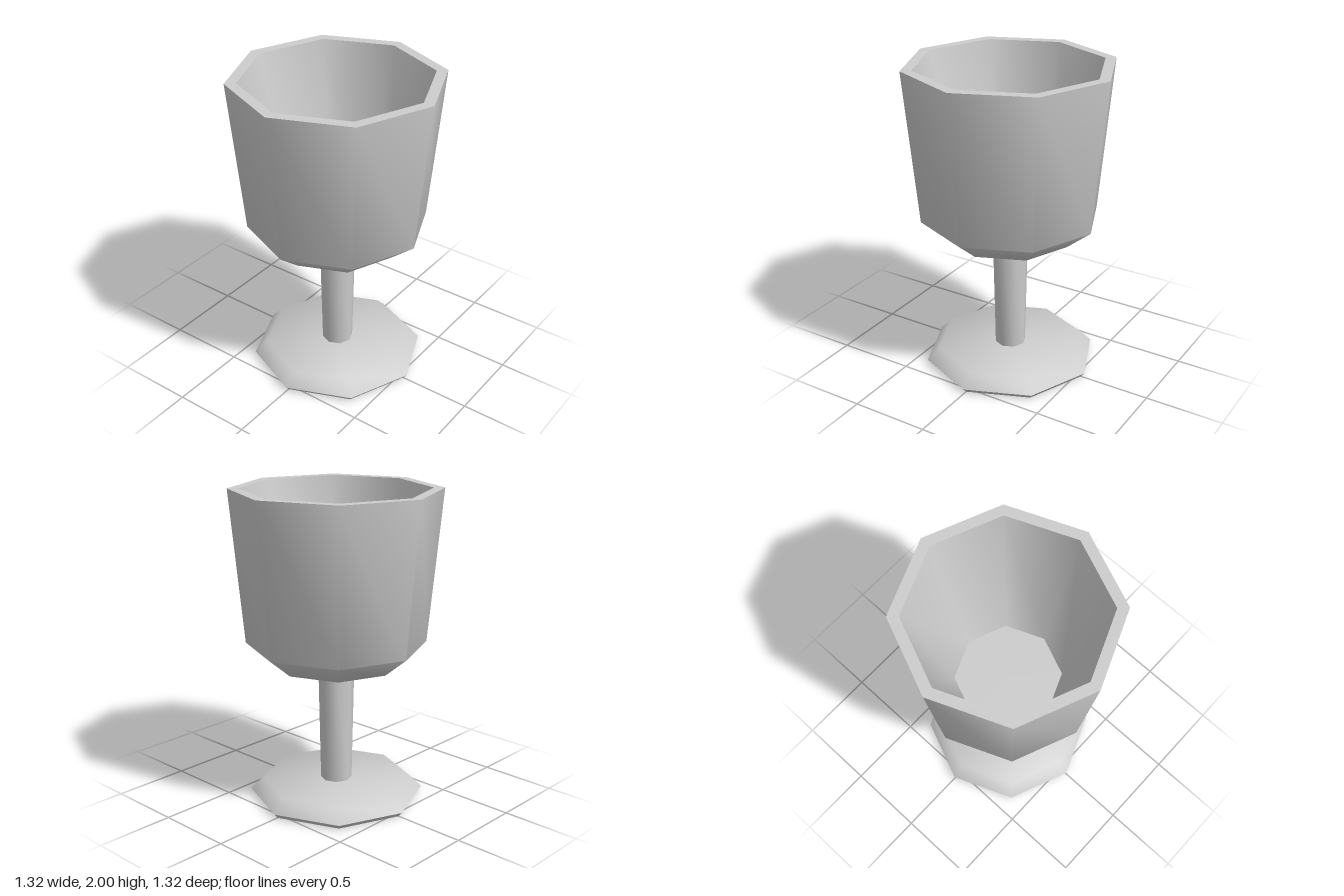
import * as THREE from 'three';
import { toCreasedNormals } from 'three/addons/utils/BufferGeometryUtils.js';

const SIDES = 8;

// Eight-sided turned part: gentle bends are smooth, steep ones stay sharp
function turned(name, profile, material) {
  const points = profile.map(([r, y]) => new THREE.Vector2(r, y));
  const lathe = new THREE.LatheGeometry(points, SIDES);
  const mesh = new THREE.Mesh(toCreasedNormals(lathe, THREE.MathUtils.degToRad(50)), material);
  mesh.name = name;
  return mesh;
}

export function createModel() {
  const group = new THREE.Group();
  group.name = 'goblet';
  const metal = new THREE.MeshStandardMaterial({ color: 0xcccccc });
  metal.name = 'pale grey';

  // Foot: flat plate with a wide upper bevel and a small lower one
  group.add(turned('foot', [[0, 0], [0.535, 0], [0.56, 0.03], [0.48, 0.11], [0, 0.11]], metal));

  // Stem: widens slightly towards the bowl
  group.add(turned('stem', [[0.1, 0.11], [0.115, 0.9]], metal));

  // Bowl: outer wall, rim, tapering inner wall and floor
  group.add(turned('bowl', [
    [0, 0.9], [0.41, 0.9], [0.57, 1.03], [0.66, 2],
    [0.59, 2], [0.34, 1.0], [0, 1.0],
  ], metal));

  return group;
}
